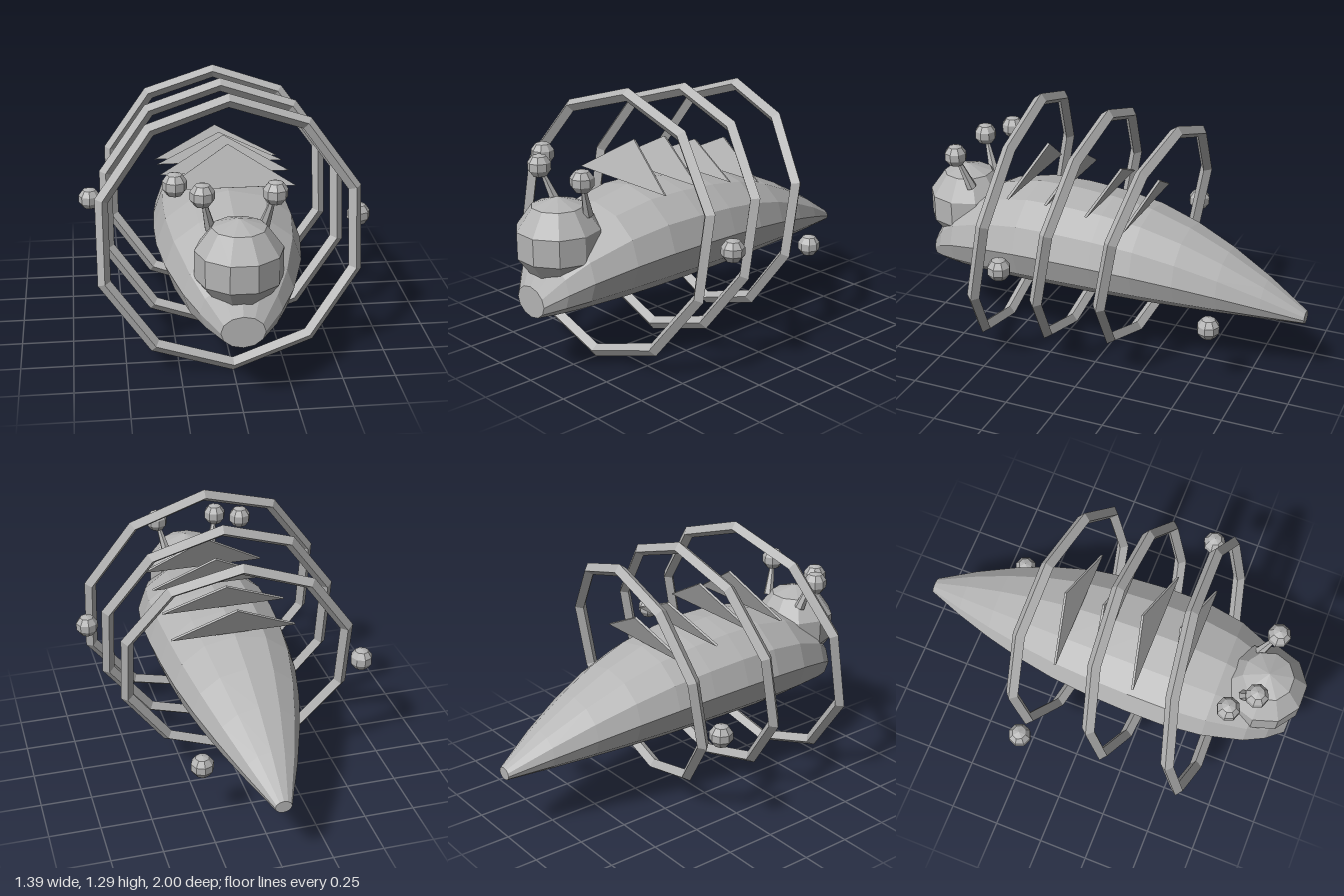
import * as THREE from 'three';

const grey = new THREE.MeshStandardMaterial({ color: 0xb4b4b4, flatShading: true });
grey.name = 'stone grey';

function part(name, geometry, parent, x = 0, y = 0, z = 0) {
  const mesh = new THREE.Mesh(geometry, grey);
  mesh.name = name;
  mesh.position.set(x, y, z);
  parent.add(mesh);
  return mesh;
}

// Tapered twelve-sided body whose belly rests at one level
function bodyGeometry() {
  const profile = [
    [0, -1, 0.04], [0.04, -1], [0.128, -0.8], [0.203, -0.6], [0.264, -0.4], [0.308, -0.2],
    [0.331, 0], [0.342, 0.2], [0.342, 0.4], [0.315, 0.6], [0.25, 0.8], [0.185, 0.9],
    [0.1, 0.98], [0, 0.98, 0.1],
  ];
  const geometry = new THREE.LatheGeometry(profile.map(([r, z]) => new THREE.Vector2(r, z)), 12);
  geometry.rotateX(Math.PI / 2);
  const pos = geometry.attributes.position;
  for (let i = 0; i < pos.count; i++) {
    const [r, , capRadius] = profile[i % profile.length];
    pos.setY(i, 0.32 + 0.75 * ((capRadius ?? r) + pos.getY(i)));
  }
  geometry.computeVertexNormals();
  return geometry;
}

// Thin triangular plate centred on its depth
function finGeometry(height) {
  const shape = new THREE.Shape();
  shape.moveTo(-0.31, 0);
  shape.lineTo(0.31, 0);
  shape.lineTo(0, height);
  shape.closePath();
  const geometry = new THREE.ExtrudeGeometry(shape, { depth: 0.012, bevelEnabled: false });
  return geometry.translate(0, 0, -0.006);
}

export function createModel() {
  const model = new THREE.Group();
  model.name = 'slug with rings';

  part('body', bodyGeometry(), model);
  part('head', new THREE.SphereGeometry(0.21, 10, 5), model, 0, 0.655, 0.81);

  // Eye stalks with round tips
  const ball = new THREE.SphereGeometry(0.058, 8, 5);
  for (const side of [-1, 1]) {
    const base = new THREE.Vector3(side * 0.12, 0.79, 0.73);
    const tip = new THREE.Vector3(side * 0.16, 0.97, 0.79);
    const dir = tip.clone().sub(base);
    const mid = base.clone().add(tip).multiplyScalar(0.5);
    const stalk = part('eyeStalk', new THREE.CylinderGeometry(0.008, 0.027, dir.length(), 6), model, mid.x, mid.y, mid.z);
    stalk.quaternion.setFromUnitVectors(new THREE.Vector3(0, 1, 0), dir.normalize());
    part('eye', ball, model, tip.x, tip.y, tip.z);
  }

  // Fins along the back: base height, base z, fin height
  for (const [y, z, h] of [[0.857, 0.43, 0.203], [0.857, 0.23, 0.18], [0.833, 0.02, 0.148], [0.79, -0.17, 0.165]]) {
    part('backFin', finGeometry(h), model, 0, y, z).rotation.x = -0.4;
  }

  // Tilted ten-sided rings: radius, z, yaw
  for (const [radius, z, yaw] of [[0.625, 0.5, 0.08], [0.592, 0.138, 0], [0.558, -0.22, -0.095]]) {
    const ring = part('ring', new THREE.TorusGeometry(radius, 0.032, 4, 10), model, 0, 0.652, z);
    ring.rotation.set(-0.175, yaw, Math.PI / 2);
  }

  // Small balls floating around the body
  for (const p of [[-0.272, 0.985, 0.688], [0.637, 0.655, 0.318], [-0.645, 0.57, -0.228], [0.27, 0.345, -0.595]]) {
    part('floatingBall', ball, model, ...p);
  }

  return model;
}
